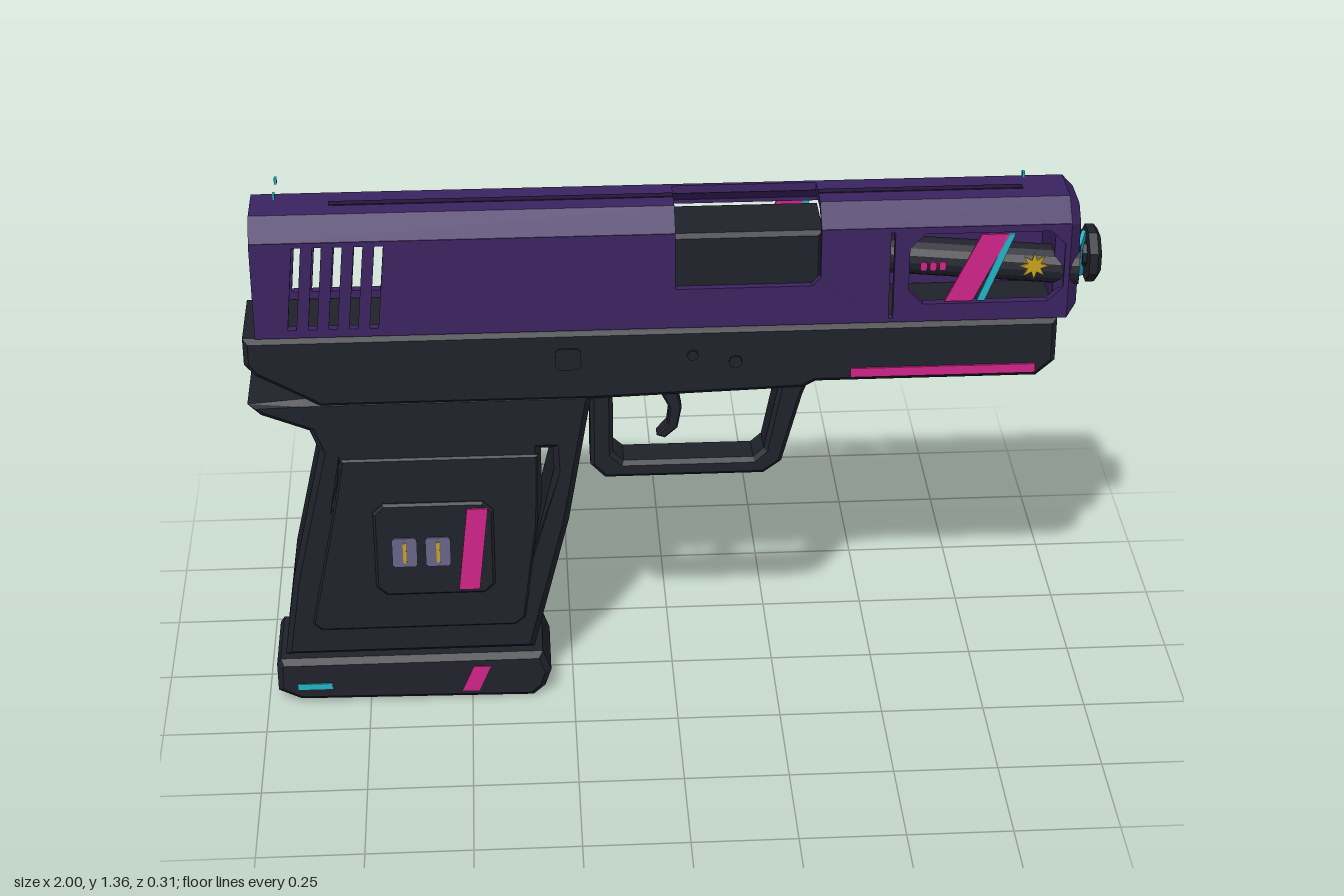
import * as THREE from 'three';

export function createModel() {
  const root = new THREE.Group();
  const mat = (name, color) => Object.assign(new THREE.MeshStandardMaterial({ color }), { name });
  const purple = mat('purple', 0x3b2360), black = mat('black', 0x20222b), darkPurple = mat('dark purple', 0x24163a);
  const magenta = mat('magenta', 0xd0258a), cyan = mat('cyan', 0x22b4c6), gold = mat('gold', 0xc9a21c), grey = mat('grey', 0x68648a);
  const ZC = 0.03; // centre plane of the body

  const add = (name, geo, m, x = 0, y = 0, z = 0) => {
    const mesh = new THREE.Mesh(geo, m);
    mesh.name = name;
    mesh.position.set(x, y, z);
    root.add(mesh);
    return mesh;
  };
  const box = (name, m, x0, x1, y0, y1, z0, z1) =>
    add(name, new THREE.BoxGeometry(x1 - x0, y1 - y0, z1 - z0), m, (x0 + x1) / 2, (y0 + y1) / 2, (z0 + z1) / 2);
  const toShape = (pts, holes = []) => {
    const s = new THREE.Shape(pts.map(p => new THREE.Vector2(...p)));
    s.holes = holes.map(h => new THREE.Path(h.map(p => new THREE.Vector2(...p))));
    return s;
  };
  const extrude = (shape, depth, b) => new THREE.ExtrudeGeometry(shape, {
    depth: depth - 2 * b, bevelEnabled: b > 0, bevelSize: b, bevelThickness: b, bevelOffset: -b, bevelSegments: 1, curveSegments: 6
  }).translate(0, 0, b);
  // side outline extruded from z0 to z1
  const slab = (name, m, pts, z0, z1, b = 0, holes) => add(name, extrude(toShape(pts, holes), z1 - z0, b), m, 0, 0, z0);
  // cross-section of [z, y] points extruded from x0 to x1
  const bar = (name, m, pts, x0, x1, b = 0, holes = []) => {
    const flip = a => a.map(([z, y]) => [-z, y]);
    return add(name, extrude(toShape(flip(pts), holes.map(flip)), x1 - x0, b).rotateY(Math.PI / 2), m, x0);
  };
  const octagon = (x0, x1, y0, y1, c) => [[x0 + c, y0], [x1 - c, y0], [x1, y0 + c], [x1, y1 - c],
    [x1 - c, y1], [x0 + c, y1], [x0, y1 - c], [x0, y0 + c]];
  const slant = (x, w, y0, y1, lean) => [[x, y0], [x + w, y0], [x + w + lean, y1], [x + lean, y1]];
  const ring = (cx, cy, r, n, r2 = r) => Array.from({ length: n }, (_, i) => {
    const a = i / n * Math.PI * 2, k = i % 2 ? r2 : r;
    return [cx + Math.cos(a) * k, cy + Math.sin(a) * k];
  });

  // slide side walls, cut by rear slots, a thin slot, a window and the ejection port
  const slots = Array.from({ length: 5 }, (_, i) => slant(-0.893 + i * 0.047, 0.02, 1.04, 1.25, 0.02));
  slots.push(slant(0.495, 0.01, 1.03, 1.25, 0));
  const frontWall = [[-0.97, 1.02], [0.91, 1.02], [0.91, 1.262], [0.335, 1.262], [0.335, 1.14], [0.315, 1.12],
    [0, 1.12], [0, 1.262], [-0.97, 1.262]];
  const backWall = [[-0.97, 1.02], [0.91, 1.02], [0.91, 1.262], [-0.97, 1.262]];
  slab('slideFrontWall', purple, frontWall, 0.115, 0.135, 0, [...slots, octagon(0.54, 0.9, 1.065, 1.245, 0.035)]);
  slab('slideBackWall', purple, backWall, -0.08, -0.06, 0, [...slots, octagon(-0.13, 0.475, 1.065, 1.245, 0.035)]);

  // slide roof with chamfered shoulders, only its back half beside the port
  const roof = [[-0.08, 1.26], [-0.03, 1.31], [0.085, 1.31], [0.135, 1.26], [0.115, 1.255], [0.08, 1.29], [-0.025, 1.29], [-0.06, 1.255]];
  bar('slideRoofRear', purple, roof, -0.97, 0);
  bar('slideRoofFront', purple, roof, 0.335, 0.905);
  bar('slideRoofSide', purple, [[-0.08, 1.26], [-0.03, 1.31], [-0.02, 1.31], [-0.02, 1.29], [-0.025, 1.29], [-0.06, 1.255]], 0, 0.335);
  for (const [a, b] of [[-0.79, 0], [0.335, 0.81]]) box('roofGroove', darkPurple, a, b, 1.308, 1.312, 0.02, 0.04);

  // slide nose with guide rod hole
  bar('slideNose', purple, [[-0.08, 1.02], [0.135, 1.02], [0.135, 1.26], [0.085, 1.31], [-0.03, 1.31], [-0.08, 1.26]],
    0.88, 0.937, 0.025, [ring(ZC, 1.05, 0.044, 8).map(([z, y]) => [z, Math.max(y, 1.048)]).slice(0, 5)]);

  // barrel, chamber and muzzle
  const tube = (name, m, r, x0, x1, n = 8) => {
    const g = new THREE.CylinderGeometry(r, r, x1 - x0, n).rotateX(Math.PI / n).rotateZ(-Math.PI / 2).toNonIndexed();
    g.computeVertexNormals();
    return add(name, g, m, (x0 + x1) / 2, 1.135, ZC);
  };
  tube('barrel', black, 0.045, 0.3, 0.95, 16);
  slab('chamber', black, [[-0.06, 1.085], [0.34, 1.085], [0.34, 1.25], [-0.06, 1.25]], -0.045, 0.118, 0.01);
  tube('muzzleBase', black, 0.06, 0.93, 0.955);
  tube('muzzleRing', cyan, 0.058, 0.955, 0.965);
  const muzzle = new THREE.LatheGeometry([[0, -0.01], [0.03, -0.01], [0.035, 0.03], [0.055, 0.03], [0.068, 0.02], [0.068, 0], [0, 0]]
    .reverse().map(p => new THREE.Vector2(...p)), 8).rotateY(Math.PI / 8).rotateZ(-Math.PI / 2).toNonIndexed();
  muzzle.computeVertexNormals();
  const muzzleMat = black.clone();
  muzzleMat.side = THREE.DoubleSide;
  add('muzzle', muzzle, muzzleMat, 0.967, 1.135, ZC);

  // window decorations on both sides
  for (const [z, dx] of [[0.128, 0], [-0.079, -0.455]]) {
    const plate = (name, m, pts) => slab(name, m, pts.map(([x, y]) => [x + dx, y]), z, z + 0.006);
    plate('windowWideStripe', magenta, slant(0.625, 0.065, 1.07, 1.24, 0.08));
    plate('windowThinStripe', cyan, slant(0.7, 0.018, 1.07, 1.24, 0.065));
    plate('sunRays', gold, ring(0.83, 1.155, 0.034, 16, 0.016));
    for (const i of [0, 1, 2]) plate('windowDot', magenta, octagon(0.565 + i * 0.022 - (dx ? i * 0.05 : 0),
      0.581 + i * 0.022 - (dx ? i * 0.05 - 0.008 : 0), 1.15, 1.172, 0.004));
  }

  // floating sight dots
  for (const [x, y, z] of [[-0.91, 1.352, 0.072], [-0.91, 1.352, -0.012], [0.81, 1.342, ZC]])
    box('sightDot', cyan, x - 0.003, x + 0.003, y - 0.007, y + 0.007, z - 0.007, z + 0.007);

  // lower frame
  slab('frame', black, [[-1, 1.018], [-1, 0.95], [-0.975, 0.92], [-0.87, 0.86], [-0.83, 0.835], [-0.19, 0.835], [0.3, 0.85],
    [0.33, 0.866], [0.85, 0.866], [0.893, 0.905], [0.893, 1.018]], -0.08, 0.138, 0.012);
  box('frameStripe', magenta, 0.41, 0.845, 0.881, 0.904, 0.136, 0.143);
  for (const [x, y, r] of [[0.04, 0.95, 0.013], [0.14, 0.93, 0.016]])
    slab('framePin', black, ring(x, y, r, 8), -0.085, 0.144);
  slab('takedownPlate', black, octagon(-0.28, -0.22, 0.92, 0.975, 0.008), 0.13, 0.142);

  // trigger guard and trigger
  slab('triggerGuard', black, [[-0.2, 0.85], [-0.2, 0.625], [-0.165, 0.588], [0.215, 0.588], [0.258, 0.62], [0.305, 0.8], [0.33, 0.866]],
    -0.015, 0.08, 0.01, [[[-0.145, 0.835], [-0.145, 0.655], [-0.12, 0.632], [0.19, 0.632], [0.215, 0.655], [0.25, 0.835]]]);
  slab('trigger', black, [[-0.045, 0.85], [-0.03, 0.8], [-0.01, 0.76], [-0.015, 0.715], [-0.04, 0.685], [-0.02, 0.678],
    [0.01, 0.705], [0.02, 0.76], [0.01, 0.81], [0.015, 0.85]], 0.01, 0.05, 0.004);

  // grip with narrow see-through gaps, and shallow side panels
  slab('grip', black, [[-1, 0.84], [-0.97, 0.81], [-0.86, 0.765], [-0.84, 0.71], [-0.92, 0.36], [-0.952, 0.14], [-0.345, 0.14],
    [-0.255, 0.5], [-0.195, 0.85], [-0.87, 0.85]], -0.07, 0.13, 0.014,
    [[[-0.345, 0.4], [-0.318, 0.56], [-0.318, 0.7], [-0.29, 0.7], [-0.288, 0.64]], [[-0.818, 0.56], [-0.797, 0.68], [-0.803, 0.62]]]);
  const panel = [[-0.79, 0.69], [-0.815, 0.55], [-0.88, 0.235], [-0.86, 0.215], [-0.39, 0.215], [-0.365, 0.235], [-0.33, 0.5], [-0.325, 0.69]];
  slab('gripPanelFront', black, panel, 0.12, 0.135, 0.005);
  slab('gripPanelBack', black, panel, -0.075, -0.06, 0.005);

  // raised control plate on the grip
  slab('controlPlate', black, octagon(-0.722, -0.435, 0.315, 0.57, 0.025), 0.125, 0.144, 0.006);
  for (const x of [-0.68, -0.6]) {
    slab('gripButton', grey, octagon(x, x + 0.06, 0.398, 0.478, 0.006), 0.138, 0.148);
    box('buttonMark', gold, x + 0.026, x + 0.034, 0.41, 0.466, 0.147, 0.151);
  }
  slab('gripStripe', magenta, slant(-0.523, 0.05, 0.33, 0.555, 0.025), 0.141, 0.149);

  // magazine base
  slab('magazineBase', black, [[-0.975, 0.115], [-0.965, 0.13], [-0.325, 0.13], [-0.305, 0.075], [-0.32, 0.03], [-0.35, 0.003],
    [-0.92, 0.012], [-0.975, 0.04]], -0.08, 0.138, 0.014);
  for (const z of [0.135, -0.083]) {
    box('baseBar', cyan, -0.926, -0.842, 0.048, 0.064, z, z + 0.006);
    slab('baseStripe', magenta, slant(-0.525, 0.042, 0.03, 0.1, 0.03), z, z + 0.006);
  }

  // back control panel with a small screen
  slab('backPanel', purple, octagon(-0.81, -0.19, 0.87, 0.985, 0.015), -0.1, -0.07, 0.005);
  slab('screen', black, octagon(-0.53, -0.195, 0.885, 0.985, 0.012), -0.116, -0.09, 0.005);
  box('screenStrip', cyan, -0.53, -0.2, 0.985, 0.995, -0.106, -0.08);
  box('slideStrip', cyan, -0.6, -0.47, 1.03, 1.042, -0.085, -0.079);
  slab('screenSun', gold, ring(-0.25, 0.935, 0.018, 12, 0.009), -0.12, -0.114);
  slab('screenSpark', gold, ring(-0.31, 0.945, 0.01, 8, 0.005), -0.12, -0.114);
  slab('screenStar', cyan, ring(-0.47, 0.93, 0.028, 6, 0.008), -0.12, -0.114);

  // knobs and lever
  [[-0.565, magenta, 0], [-0.62, gold, 0], [-0.672, cyan, 0], [-0.742, magenta, 0.025]].forEach(([x, m, out]) => {
    add('knobCollar', new THREE.CylinderGeometry(0.02, 0.02, 0.014, 10).rotateX(Math.PI / 2), black, x, 0.922, -0.105);
    add('knobStem', new THREE.CylinderGeometry(0.007, 0.007, 0.03 + out, 8).rotateX(Math.PI / 2), m, x, 0.922, -0.11 - out / 2);
    add('knob', new THREE.SphereGeometry(0.016, 10, 8), m, x, 0.922, -0.116 - out);
  });

  // lanyard ring, slide stop and ridged release button
  add('lanyardRing', new THREE.TorusGeometry(0.026, 0.009, 6, 14).rotateX(Math.PI / 2), black, -0.895, 0.925, -0.113);
  slab('ringMount', black, octagon(-0.94, -0.85, 0.895, 0.955, 0.015), -0.09, -0.075);
  slab('slideStop', black, octagon(-0.14, 0.08, 0.945, 0.985, 0.015), -0.095, -0.075, 0.004);
  slab('releaseButton', grey, octagon(-0.325, -0.25, 0.64, 0.735, 0.012), -0.082, -0.05, 0.003);
  for (let i = 0; i < 4; i++) box('releaseRidge', grey, -0.32, -0.255, 0.655 + i * 0.02, 0.665 + i * 0.02, -0.087, -0.08);

  return root;
}
